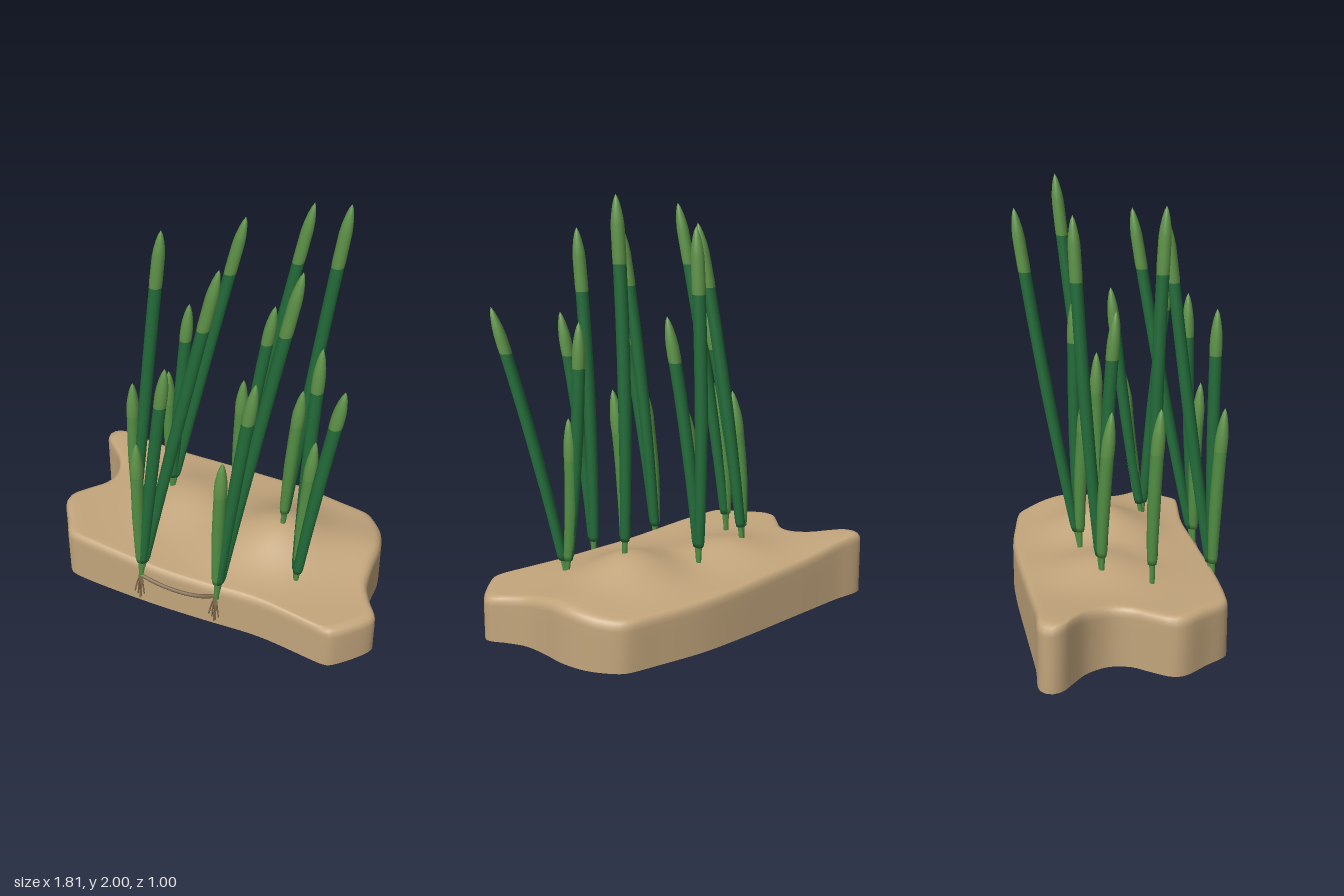
import * as THREE from 'three';

const mat = (name, color, side = THREE.FrontSide) => {
  const m = new THREE.MeshStandardMaterial({ color, side });
  m.name = name;
  return m;
};

// Clusters of shoots: foot of the cluster, then tips with the kind of shoot
const CLUSTERS = [
  { foot: [-0.44, 0.28, 0.12], tips: [['tall', -0.19, 1.92, 0.2], ['short', -0.4, 1.07, 0.16]] },
  { foot: [-0.36, 0.29, -0.1], tips: [['tall', 0, 1.86, -0.2], ['medium', -0.19, 1.46, -0.02], ['short', -0.33, 1.04, -0.05]] },
  { foot: [-0.03, 0.28, -0.18], tips: [['tall', 0.21, 1.87, -0.46], ['medium', 0.16, 1.46, -0.19], ['short', 0.03, 1.05, -0.14]] },
  { foot: [0.3, 0.34, -0.05], tips: [['tall', 0.47, 2.0, -0.26], ['short', 0.37, 1.14, -0.07]] },
  { foot: [0.48, 0.22, 0.17], tips: [['medium', 0.74, 1.49, 0.34], ['medium', 0.49, 1.44, 0.01], ['short', 0.51, 1.0, 0.08]] },
  { foot: [-0.22, 0.18, 0.43], tips: [['tall', 0.11, 1.83, 0.24], ['medium', -0.03, 1.43, 0.46], ['short', -0.18, 1.0, 0.48]] },
  { foot: [0.18, 0.19, 0.4], tips: [['tall', 0.43, 1.84, 0.11], ['medium', 0.36, 1.43, 0.38], ['short', 0.23, 1.01, 0.43]] },
];

// Outline of the soil slab as x, z pairs
const OUTLINE = [
  [-0.88, -0.395], [-0.7, -0.41], [-0.4, -0.445], [0, -0.49], [0.2, -0.502], [0.42, -0.49], [0.58, -0.475], [0.61, -0.46],
  [0.7, -0.36], [0.75, -0.23], [0.765, -0.1], [0.79, 0.02], [0.84, 0.1], [0.9, 0.18], [0.89, 0.22], [0.83, 0.31],
  [0.76, 0.385], [0.73, 0.39], [0.4, 0.375], [0.1, 0.405], [-0.2, 0.43], [-0.6, 0.435], [-0.645, 0.425], [-0.72, 0.33],
  [-0.805, 0.22], [-0.81, 0.17], [-0.76, 0.08], [-0.71, 0], [-0.7, -0.09], [-0.75, -0.19], [-0.83, -0.255],
  [-0.89, -0.3], [-0.91, -0.35],
];

// Gentle mounds on the soil: x, z, height, spread
const MOUNDS = [[0.3, -0.07, 0.12, 0.16], [-0.25, -0.1, 0.065, 0.15], [0.7, -0.2, 0.045, 0.15],
  [-0.85, -0.38, 0.03, 0.2], [0, 0.42, -0.02, 0.25], [0.1, 0.1, 0.025, 0.15]];

function soilHeight(x, z) {
  return MOUNDS.reduce((h, [mx, mz, a, s]) =>
    h + a * Math.exp(-((x - mx) ** 2 + (z - mz) ** 2) / (2 * s * s)), 0.245 - 0.035 * x);
}

// Slab from rings: straight wall, rounded rim, then rings running to the middle
function soilGeometry() {
  const n = 160;
  const curve = new THREE.CatmullRomCurve3(OUTLINE.map(([x, z]) => new THREE.Vector3(x, 0, z)), true);
  const edge = curve.getSpacedPoints(n).slice(0, n);
  const rings = [[1, null], [1, 0.1], [1, 0.045], [0.997, 0.026], [0.985, 0.01], [0.965, 0.002], [0.94, 0]];
  for (let s = 0.88; s > 0.03; s -= 0.06) rings.push([s, 0]);
  rings.push([0, 0]);
  const pos = [], idx = [];
  for (const [s, drop] of rings) {
    for (const p of edge) {
      const x = p.x * s, z = p.z * s;
      pos.push(x, drop === null ? 0 : soilHeight(x, z) - drop, z);
    }
  }
  for (let i = 0; i < rings.length - 1; i++) {
    for (let j = 0; j < n; j++) {
      const a = i * n + j, b = i * n + (j + 1) % n, c = a + n, d = b + n;
      idx.push(a, c, b, b, c, d);
    }
  }
  // Flat underside with its own corners
  const base = pos.length / 3;
  edge.forEach((p) => pos.push(p.x, 0, p.z));
  pos.push(0, 0, 0);
  for (let j = 0; j < n; j++) idx.push(base + j, base + (j + 1) % n, base + n);
  const g = new THREE.BufferGeometry();
  g.setAttribute('position', new THREE.Float32BufferAttribute(pos, 3));
  g.setIndex(idx);
  g.computeVertexNormals();
  return g;
}

// Turned profile of [radius, y] points, leaned along a slightly bowed line from foot to tip
function leaning(profile, foot, tip) {
  const g = new THREE.LatheGeometry(profile.map(([r, y]) => new THREE.Vector2(r, y)), 14);
  const p = g.attributes.position;
  for (let i = 0; i < p.count; i++) {
    const t = (p.getY(i) - foot[1]) / (tip[1] - foot[1]);
    const bow = 4 * t * (1 - t) * 0.012;
    p.setX(i, p.getX(i) + foot[0] + (tip[0] - foot[0]) * t - bow);
    p.setZ(i, p.getZ(i) + foot[2] + (tip[2] - foot[2]) * t - bow);
  }
  return g;
}

export function createModel() {
  const model = new THREE.Group();
  const soil = mat('soil tan', 0xc2a57c);
  const dark = mat('stem green', 0x236c3a);
  const light = mat('tip green', 0x5f9449);
  const young = mat('young shoot green', 0x528e44);
  const brown = mat('root brown', 0x7d6749);

  const add = (parent, name, geometry, material) => {
    const mesh = new THREE.Mesh(geometry, material);
    mesh.name = name;
    parent.add(mesh);
  };
  add(model, 'soilSlab', soilGeometry(), soil);

  // Shoots: thin stub, stem and pointed tip
  const tipLength = { tall: 0.29, medium: 0.21, short: 0.2 };
  for (const { foot, tips } of CLUSTERS) {
    const cluster = new THREE.Group();
    cluster.name = 'shootCluster';
    for (const [kind, ...tip] of tips) {
      const start = foot[1] + 0.075, top = tip[1], joint = top - tipLength[kind];
      const r = kind === 'short' ? 0.03 : 0.029;
      add(cluster, 'stub', leaning([[0.012, foot[1] - 0.02], [0.013, start + 0.01]], foot, tip), young);
      const stem = [[0, start], [0.02, start + 0.004], [0.024, start + 0.03]];
      for (let k = 1; k <= 6; k++) {
        const t = k / 6;
        stem.push([0.024 + (r - 0.024) * Math.min(1, t * 2), start + 0.03 + (joint - start - 0.03) * t]);
      }
      add(cluster, kind + 'Stem', leaning(stem, foot, tip), kind === 'short' ? young : dark);
      add(cluster, kind + 'Tip', leaning([[r, joint], [r + 0.001, joint + 0.03], [r, top - 0.13], [0.025, top - 0.09],
        [0.018, top - 0.05], [0.01, top - 0.02], [0, top]], foot, tip), light);
    }
    model.add(cluster);
  }

  // Runner along the front wall, with hanging rootlets at each end
  const tube = (name, points, r) => add(model, name, new THREE.TubeGeometry(
    new THREE.CatmullRomCurve3(points.map((p) => new THREE.Vector3(...p))), 16, r, 6), brown);
  tube('runner', [[-0.22, 0.17, 0.435], [-0.12, 0.155, 0.435], [0, 0.15, 0.428], [0.1, 0.16, 0.415], [0.18, 0.19, 0.405]], 0.01);
  for (const [x, y, z] of [[-0.22, 0.18, 0.43], [0.18, 0.19, 0.405]]) {
    for (let k = -2; k <= 2; k++) {
      const drop = 0.14 - 0.018 * Math.abs(k);
      tube('rootlet', [[x, y, z], [x + k * 0.007, y - drop * 0.4, z + 0.015],
        [x + k * 0.013, y - drop, z + 0.025 + 0.007 * (k % 2)]], 0.004);
    }
  }
  return model;
}
